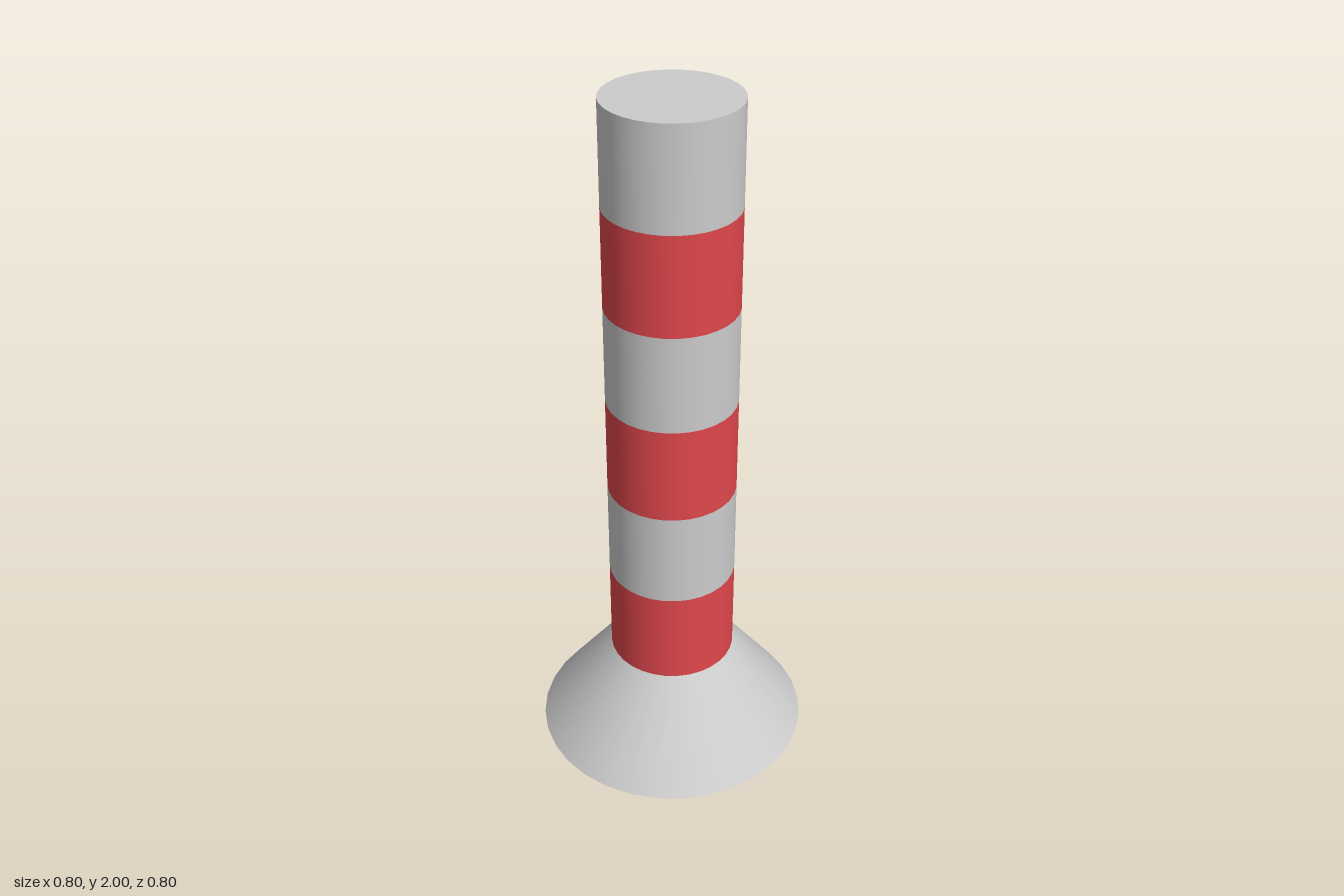
import * as THREE from 'three';

const SIDES = 32;
const BAND = 2 / 7;        // seven equal levels: the foot and six bands
const POST_RADIUS = 0.184;
const FOOT_RADIUS = 0.4;

export function createModel() {
  const model = new THREE.Group();
  model.name = 'stripedBollard';

  const grey = new THREE.MeshStandardMaterial({ color: 0xcccccc });
  const red = new THREE.MeshStandardMaterial({ color: 0xe0474c });

  function add(name, geometry, material, y) {
    const mesh = new THREE.Mesh(geometry, material);
    mesh.name = name;
    mesh.position.y = y;
    model.add(mesh);
    return mesh;
  }

  // Open ring, so that no hidden discs sit between the stacked bands
  const ring = (top, bottom) => new THREE.CylinderGeometry(top, bottom, BAND, SIDES, 1, true);

  // Flared foot with its underside
  add('foot', ring(POST_RADIUS, FOOT_RADIUS), grey, BAND / 2);
  add('footUnderside', new THREE.CircleGeometry(FOOT_RADIUS, SIDES).rotateX(Math.PI / 2), grey, 0);

  // Post of alternating red and grey bands
  for (let i = 1; i <= 6; i++) {
    const isRed = i % 2 === 1;
    add(`${isRed ? 'red' : 'grey'}Band${Math.ceil(i / 2)}`,
      ring(POST_RADIUS, POST_RADIUS), isRed ? red : grey, (i + 0.5) * BAND);
  }

  // Flat top
  add('topCap', new THREE.CircleGeometry(POST_RADIUS, SIDES).rotateX(-Math.PI / 2), grey, 2);

  return model;
}
